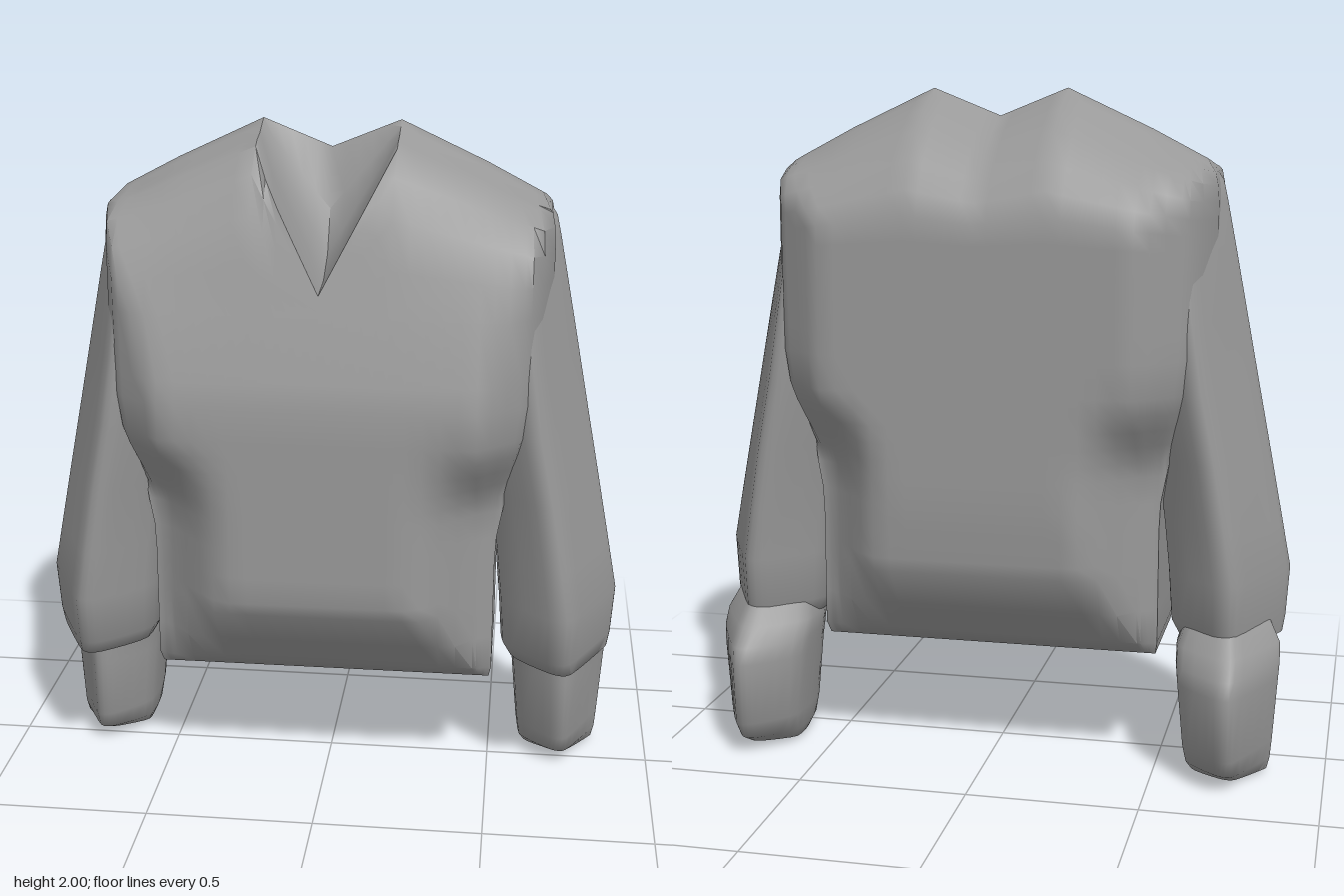
import * as THREE from 'three';
import { toCreasedNormals } from 'three/addons/utils/BufferGeometryUtils.js';

const { lerp, smoothstep, clamp } = THREE.MathUtils;

// Piecewise-linear lookup in a list of [key, value] pairs
function sample(table, k) {
  for (let i = 1; i < table.length; i++) {
    const [k0, v0] = table[i - 1], [k1, v1] = table[i];
    if (k <= k1) return lerp(v0, v1, Math.max(0, (k - k0) / (k1 - k0)));
  }
  return table[table.length - 1][1];
}

// Skin a row of closed rings, with end caps if wanted
function loft(rings, crease, capped) {
  const n = rings[0].length, pos = rings.flat().flatMap(p => [p.x, p.y, p.z]), idx = [];
  for (let r = 0; r < rings.length - 1; r++) {
    for (let i = 0; i < n; i++) {
      const a = r * n + i, b = r * n + (i + 1) % n;
      idx.push(a, a + n, b, b, a + n, b + n);
    }
  }
  const ends = capped ? [0, rings.length - 1] : [];
  ends.forEach((r, end) => {
    const c = rings[r].reduce((s, p) => s.add(p), new THREE.Vector3()).divideScalar(n);
    const ci = pos.length / 3;
    pos.push(c.x, c.y, c.z);
    for (let i = 0; i < n; i++) {
      const a = r * n + i, b = r * n + (i + 1) % n;
      if (end) idx.push(ci, b, a); else idx.push(ci, a, b);
    }
  });
  const g = new THREE.BufferGeometry();
  g.setAttribute('position', new THREE.Float32BufferAttribute(pos, 3));
  g.setIndex(idx);
  return toCreasedNormals(g, crease);
}

// Depth of the chest and the back, and half-width of the body, by height
const FRONT = [[0.36, 0.18], [0.4, 0.22], [0.5, 0.3], [0.62, 0.395], [0.66, 0.41], [1.25, 0.41],
  [1.32, 0.395], [1.5, 0.345], [1.78, 0.27], [1.88, 0.21], [1.93, 0.15], [1.96, 0.09], [2, -0.03]];
const BACK = [[0.36, 0.18], [0.4, 0.22], [0.48, 0.28], [0.62, 0.38], [0.8, 0.4], [1.65, 0.405],
  [1.72, 0.38], [1.8, 0.325], [1.88, 0.245], [1.94, 0.155], [1.98, 0.07], [2, 0.03]];
const WIDTH = [[0.36, 0.5], [0.4, 0.507], [0.8, 0.507], [0.95, 0.535], [1.1, 0.605], [1.2, 0.645],
  [1.5, 0.65], [1.7, 0.65], [1.76, 0.642], [1.8, 0.61]];
// Depth limit from the chest corner out to the flank, above the armpit
const FLANK = [[0, 0.41], [0.7, 0.295], [0.85, 0.22], [1, 0.1]];
// Neck opening, [y, z] down the middle and at its side edge
const NECK_MID = [[1.575, 0.2], [1.63, 0.1], [1.75, 0.03], [1.92, -0.03]];
const NECK_EDGE = [[1.955, 0.1], [1.967, 0.05], [1.985, 0.01], [2, -0.03]];
const LEVELS = [0.36, 0.4, 0.5, 0.62, 0.66, 0.74, 0.82, 0.9, 0.95, 1, 1.05, 1.1, 1.15, 1.25, 1.32, 1.5];
const BACK_TOP = [1.98, 1.94, 1.88, 1.8, 1.72, 1.65, 1.58];

// One closed body outline at column x; t runs from chest corner to flank
function bodyRing(side, x, t, seam = false) {
  const xn = x + t * 0.18;
  const a = Math.min(1, xn / 0.2);
  const ridge = xn < 0.2 ? 1.92 + 0.08 * a : 2 - (xn - 0.2) * 0.465;
  const k = (ridge - 1.5) / 0.5;
  const place = (y, z, scale) => {
    if (y > 1.5) y = 1.5 + (y - 1.5) * scale;
    const px = x + t * (sample(WIDTH, y) - 0.45);
    // Flat chest narrows to the flank; hollows sit under the arms
    const low = lerp(0.41, 0.2, smoothstep(px, 0.25, 0.52));
    const cap = lerp(low, sample(FLANK, t), smoothstep(y, 0.88, 1.17));
    return new THREE.Vector3(side * px, y, seam ? -0.03 : clamp(z, -cap, cap));
  };
  const kf = a < 1 ? 1 : k;
  const ring = LEVELS.map(y => place(y, sample(FRONT, y), kf));
  const edge = 1.56 + 0.38 * a;
  for (const f of [0.3, 0.6, 0.85, 1]) {
    const y = lerp(1.5, edge, f);
    ring.push(place(y, sample(FRONT, y), kf));
  }
  NECK_MID.forEach(([y, z], i) =>
    ring.push(place(lerp(y, NECK_EDGE[i][0], a), lerp(z, NECK_EDGE[i][1], a), kf)));
  for (const y of [...BACK_TOP, ...LEVELS.slice().reverse()]) ring.push(place(y, -sample(BACK, y), k));
  return ring;
}

// The flanks close on a seam where front and back meet
function bodyGeometry() {
  const half = [0.04, 0.08, 0.12, 0.16, 0.2, 0.25, 0.3, 0.35, 0.4, 0.45].map(x => [x, 0]);
  for (const t of [0.2, 0.4, 0.6, 0.7, 0.85, 1]) half.push([0.45, t]);
  half.push([0.45, 1, true]);
  return loft([
    ...half.slice().reverse().map(c => bodyRing(-1, ...c)),
    bodyRing(1, 0, 0),
    ...half.map(c => bodyRing(1, ...c)),
  ], 0.95, false);
}

// Rounded eight-point limb section, as fractions of its width and depth
const SECTION = [[1, 0.45], [1, 0.55], [0.63, 1], [0.42, 1], [0, 0.74], [0, 0.26], [0.42, 0], [0.63, 0]];

// Rows are [y, inner x, outer x, back z, front z], from bottom to top
function limbGeometry(rows, side) {
  return loft(rows.map(([y, xi, xo, zb, zf]) => {
    const pts = SECTION.map(([u, v]) => new THREE.Vector3(side * lerp(xi, xo, u), y, lerp(zb, zf, v)));
    const ring = new THREE.CatmullRomCurve3(pts, true, 'catmullrom', 0.3).getPoints(32).slice(0, 32);
    return side < 0 ? ring.reverse() : ring;
  }), 0.9, true);
}

// Sleeves run from cuff to shoulder, sunk into the flank
const SLEEVE = [[0.385, 0.6, 0.82, -0.18, 0.18], [0.4, 0.565, 0.85, -0.23, 0.23],
  [0.45, 0.54, 0.857, -0.255, 0.265], [0.6, 0.53, 0.866, -0.265, 0.285],
  [0.75, 0.515, 0.838, -0.27, 0.285], [0.95, 0.49, 0.8, -0.275, 0.285],
  [1.15, 0.45, 0.761, -0.28, 0.285], [1.35, 0.43, 0.723, -0.28, 0.28],
  [1.55, 0.42, 0.685, -0.265, 0.265], [1.68, 0.42, 0.66, -0.24, 0.235],
  [1.74, 0.42, 0.647, -0.2, 0.19], [1.775, 0.42, 0.625, -0.12, 0.1]];
const HAND = [[0.005, 0.65, 0.8, -0.2, -0.07], [0.015, 0.615, 0.825, -0.25, -0.02],
  [0.05, 0.6, 0.833, -0.315, 0.045], [0.11, 0.592, 0.838, -0.362, 0.078],
  [0.3, 0.575, 0.85, -0.375, 0.085], [0.35, 0.57, 0.853, -0.365, 0.09],
  [0.4, 0.568, 0.85, -0.31, 0.09], [0.46, 0.59, 0.82, -0.25, 0.08], [0.5, 0.62, 0.79, -0.2, 0.06]];

export function createModel() {
  const model = new THREE.Group();
  model.name = 'jumper';
  const grey = new THREE.MeshStandardMaterial({ color: 0x999999 });
  grey.name = 'plain grey';
  const add = (name, geometry) => {
    const mesh = new THREE.Mesh(geometry, grey);
    mesh.name = name;
    model.add(mesh);
  };
  add('body', bodyGeometry());
  for (const [word, side] of [['left', 1], ['right', -1]]) {
    add(word + 'Sleeve', limbGeometry(SLEEVE, side));
    add(word + 'Hand', limbGeometry(HAND, side));
  }
  return model;
}
